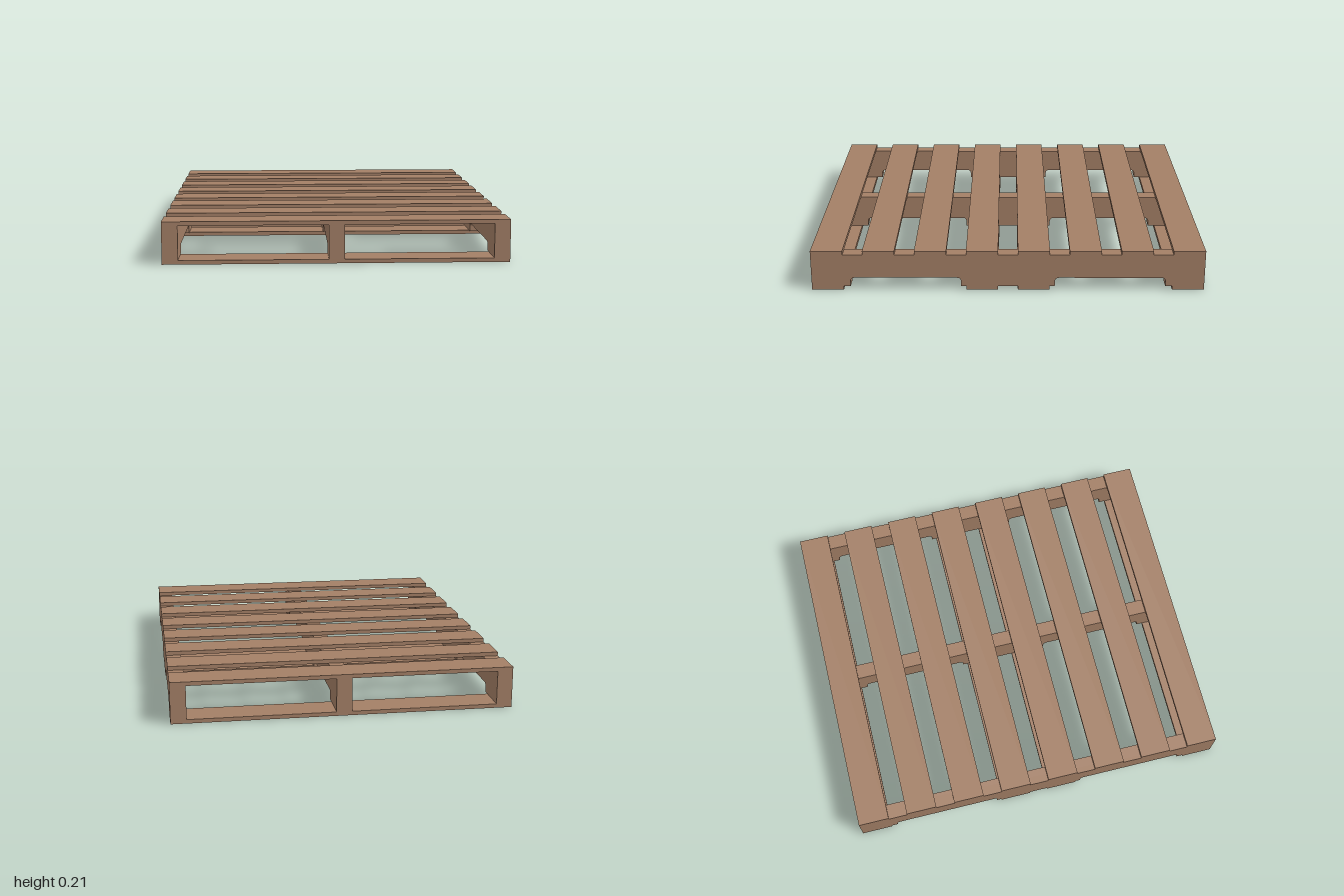
import * as THREE from 'three';

const WIDTH = 1.695, LENGTH = 1.97, HEIGHT = 0.21;
const BOARD = 0.02, BOARD_DEPTH = 0.16, STRINGER = 0.078;

// Stringer side profile with two fork notches, extruded across x
function stringerGeometry() {
  const h = LENGTH / 2, bottom = BOARD, top = HEIGHT - BOARD, roof = 0.066, r = 0.022;
  const s = new THREE.Shape();
  s.moveTo(-h, bottom);
  for (const [a, b] of [[-0.79, -0.235], [0.235, 0.79]]) {
    s.lineTo(a, bottom);
    s.lineTo(a, roof - r);
    s.quadraticCurveTo(a, roof, a + r, roof);
    s.lineTo(b - r, roof);
    s.quadraticCurveTo(b, roof, b, roof - r);
    s.lineTo(b, bottom);
  }
  s.lineTo(h, bottom);
  s.lineTo(h, top);
  s.lineTo(-h, top);
  s.closePath();
  const g = new THREE.ExtrudeGeometry(s, { depth: STRINGER, bevelEnabled: false, curveSegments: 5 });
  return g.translate(0, 0, -STRINGER / 2).rotateY(-Math.PI / 2);
}

export function createModel() {
  const wood = new THREE.MeshStandardMaterial({ color: 0xa37f66 });
  wood.name = 'wood';
  const pallet = new THREE.Group();
  pallet.name = 'pallet';

  const add = (name, geometry, x, y, z) => {
    const mesh = new THREE.Mesh(geometry, wood);
    mesh.name = name;
    mesh.position.set(x, y, z);
    pallet.add(mesh);
  };

  // Three notched stringers running front to back
  const stringer = stringerGeometry();
  const side = (WIDTH - STRINGER) / 2;
  add('rightStringer', stringer, -side, 0, 0);
  add('middleStringer', stringer, 0, 0, 0);
  add('leftStringer', stringer, side, 0, 0);

  // Eight deck boards on top, four boards below
  const board = new THREE.BoxGeometry(WIDTH, BOARD, BOARD_DEPTH);
  const pitch = (LENGTH - BOARD_DEPTH) / 7;
  for (let i = 0; i < 8; i++) {
    const z = (i - 3.5) * pitch;
    add('topBoard' + (i + 1), board, 0, HEIGHT - BOARD / 2, z);
    if ([0, 3, 4, 7].includes(i)) add('bottomBoard' + (i + 1), board, 0, BOARD / 2, z);
  }

  // The pallet sits slightly askew
  pallet.rotation.y = -0.0147;
  const model = new THREE.Group();
  model.name = 'model';
  model.add(pallet);
  return model;
}
